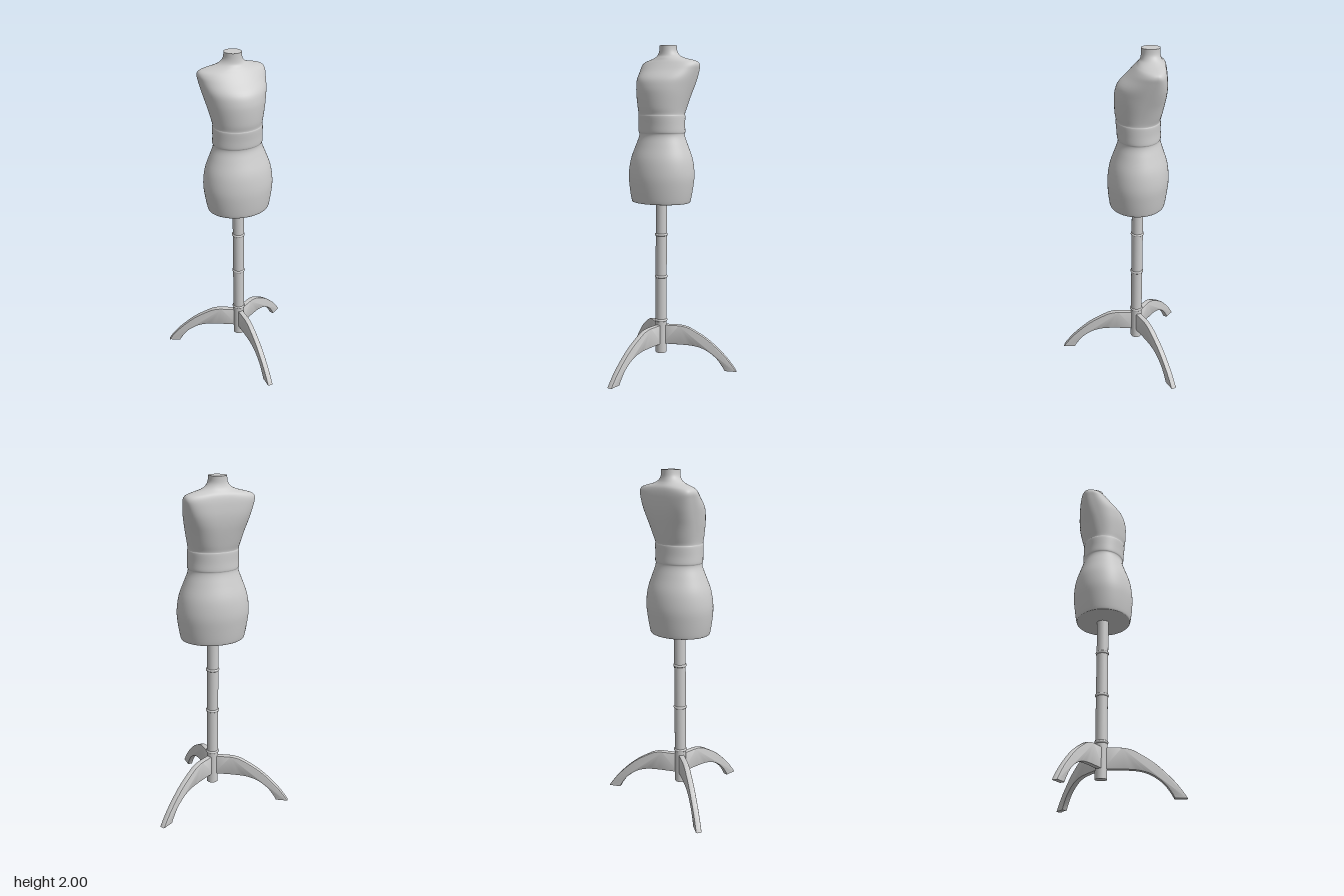
import * as THREE from 'three';
import { toCreasedNormals } from 'three/addons/utils/BufferGeometryUtils.js';

const AXIS_Z = -0.115; // the pole stands behind the origin
const V2 = (x, y) => new THREE.Vector2(x, y);

// Torso sections: height, half width, front z, back z, z of widest point, back squareness
const SECTIONS = [
  [1.06, 0.183, 0.044, -0.268, -0.112, 2],
  [1.07, 0.191, 0.053, -0.276, -0.112, 2],
  [1.15, 0.206, 0.063, -0.288, -0.113, 2],
  [1.23, 0.213, 0.065, -0.295, -0.115, 2],
  [1.32, 0.201, 0.052, -0.286, -0.117, 2],
  [1.40, 0.172, 0.024, -0.261, -0.118, 2],
  [1.45, 0.152, 0.007, -0.245, -0.119, 2],
  [1.475, 0.147, 0.004, -0.24, -0.119, 2],
  [1.487, 0.151, 0.009, -0.243, -0.119, 2],
  [1.53, 0.15, 0.012, -0.241, -0.118, 2],
  [1.58, 0.149, 0.017, -0.24, -0.118, 2.1],
  [1.593, 0.146, 0.015, -0.238, -0.118, 2.1],
  [1.63, 0.152, 0.022, -0.247, -0.122, 2.3],
  [1.70, 0.167, 0.026, -0.262, -0.135, 2.6],
  [1.75, 0.178, 0.023, -0.27, -0.15, 3],
  [1.80, 0.189, 0.006, -0.273, -0.165, 3.5],
  [1.85, 0.199, -0.042, -0.27, -0.185, 3.8],
  [1.88, 0.203, -0.07, -0.266, -0.197, 3.6],
  [1.90, 0.192, -0.088, -0.261, -0.202, 3],
  [1.912, 0.16, -0.099, -0.255, -0.2, 2.6],
  [1.925, 0.108, -0.108, -0.245, -0.192, 2.2],
  [1.94, 0.075, -0.118, -0.236, -0.184, 2.2],
  [1.965, 0.055, -0.122, -0.229, -0.176, 2.2],
  [2.00, 0.05, -0.122, -0.228, -0.175, 2.2],
];

// Smooth blend between neighbouring sections
function sectionAt(t) {
  const last = SECTIONS.length - 1;
  const i = Math.min(Math.floor(t), last - 1), f = t - i;
  const row = (k) => SECTIONS[Math.max(0, Math.min(last, k))];
  return SECTIONS[i].map((b, k) => {
    const a = row(i - 1)[k], c = row(i + 1)[k], d = row(i + 2)[k];
    return b + 0.5 * f * (c - a + f * (2 * a - 5 * b + 4 * c - d + f * (3 * (b - c) + d - a)));
  });
}

function torsoGeometry() {
  const around = 72, steps = (SECTIONS.length - 1) * 4, pos = [], idx = [];
  const ring = ([y, w, front, back, mid, square]) => {
    for (let j = 0; j < around; j++) {
      const a = (j / around) * Math.PI * 2, s = Math.sin(a), c = Math.cos(a);
      const p = 2 / (c < 0 ? square : 2);
      const x = Math.sign(s) * w * Math.abs(s) ** p;
      const z = mid + (c >= 0 ? front - mid : back - mid) * Math.abs(c) ** p;
      pos.push(x, y, z);
    }
  };
  for (let i = 0; i <= steps; i++) ring(sectionAt(i / 4));
  for (let i = 0; i < steps; i++) {
    for (let j = 0; j < around; j++) {
      const k = (j + 1) % around;
      const a = i * around + j, b = i * around + k;
      idx.push(a, b, b + around, a, b + around, a + around);
    }
  }
  // flat caps with their own vertices keep the rims sharp
  for (const [section, up] of [[SECTIONS[0], false], [SECTIONS.at(-1), true]]) {
    const start = pos.length / 3;
    ring(section);
    pos.push(0, section[0], section[4]);
    for (let j = 0; j < around; j++) {
      const a = start + j, b = start + ((j + 1) % around), centre = start + around;
      idx.push(...(up ? [a, b, centre] : [b, a, centre]));
    }
  }
  const g = new THREE.BufferGeometry();
  g.setAttribute('position', new THREE.Float32BufferAttribute(pos, 3));
  g.setIndex(idx);
  g.computeVertexNormals();
  return g;
}

// Curved leg, drawn outward from the pole and thickened
function legGeometry() {
  const bevel = 0.006, thick = 0.034;
  const shape = new THREE.Shape();
  shape.moveTo(0.01, 0.28);
  shape.lineTo(0.11, 0.28);
  shape.splineThru([V2(0.15, 0.275), V2(0.2, 0.256), V2(0.305, 0.19), V2(0.4, 0.102), V2(0.455, 0.035), V2(0.478, 0)]);
  shape.lineTo(0.405, 0);
  shape.splineThru([V2(0.385, 0.035), V2(0.345, 0.085), V2(0.28, 0.13), V2(0.21, 0.151), V2(0.13, 0.156)]);
  shape.lineTo(0.01, 0.156);
  const g = new THREE.ExtrudeGeometry(shape, {
    depth: thick - 2 * bevel, bevelEnabled: true, bevelThickness: bevel,
    bevelSize: bevel, bevelOffset: -bevel, bevelSegments: 2, curveSegments: 5,
  });
  g.translate(0, 0, -thick / 2 + bevel);
  return toCreasedNormals(g, 0.6);
}

export function createModel() {
  const model = new THREE.Group();
  model.name = 'dressForm';
  const material = new THREE.MeshStandardMaterial({ color: 0xcccccc });
  const add = (name, geometry, parent = model) => {
    const mesh = new THREE.Mesh(geometry, material);
    mesh.name = name;
    parent.add(mesh);
    return mesh;
  };

  add('torso', torsoGeometry());

  // Stand: pole, joint rings and three legs
  const stand = new THREE.Group();
  stand.name = 'stand';
  stand.position.z = AXIS_Z;
  model.add(stand);

  add('pole', new THREE.CylinderGeometry(0.0345, 0.0345, 0.97, 32), stand).position.y = 0.585;

  for (const y of [0.31, 0.59, 0.855]) {
    const ring = add('poleRing', new THREE.TorusGeometry(0.032, 0.0085, 10, 32), stand);
    ring.rotation.x = Math.PI / 2;
    ring.position.y = y;
  }

  const leg = legGeometry();
  for (let i = 0; i < 3; i++) {
    add('leg', leg, stand).rotation.y = -Math.PI / 2 + (i * Math.PI * 2) / 3;
  }
  return model;
}
